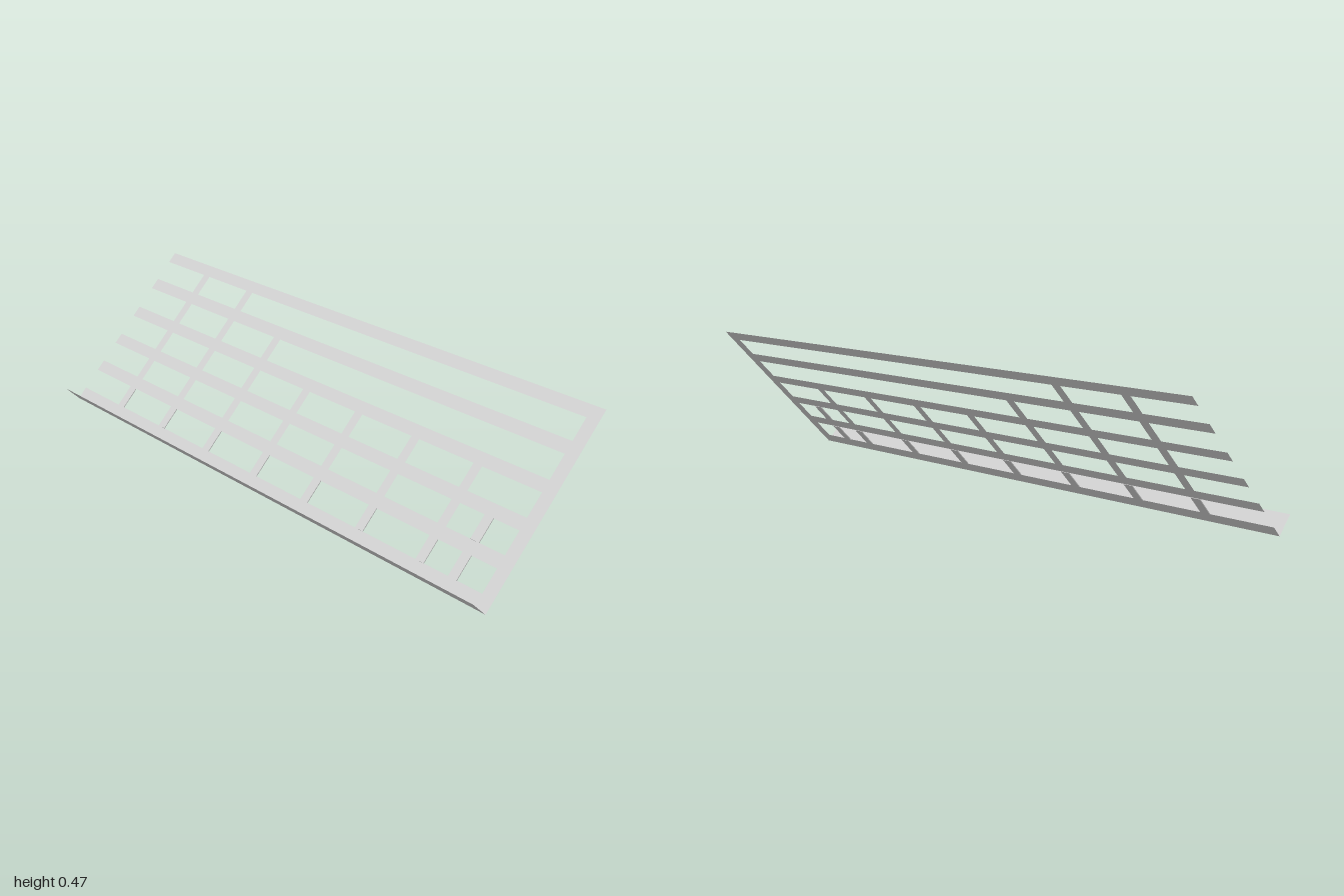
import * as THREE from 'three';

// Sloping open lattice: long rails joined by short rungs, with a lip along the low edge.
export function createModel() {
  const model = new THREE.Group();
  const material = new THREE.MeshStandardMaterial({ color: 0xcccccc, flatShading: true, side: THREE.DoubleSide });

  // Frame tilted 45 degrees: local x runs up the slope, local y is its normal
  const lattice = new THREE.Group();
  lattice.name = 'lattice';
  lattice.position.set(-0.209, 0, 0);
  lattice.rotation.z = Math.PI / 4;
  model.add(lattice);

  // Heights (world y) become distances along the slope
  function strip(name, y0, y1, z0, z1, thickness = 0) {
    const k = Math.SQRT2;
    const width = (y1 - y0) * k, depth = z1 - z0;
    const geometry = thickness
      ? new THREE.BoxGeometry(width, thickness, depth)
      : new THREE.PlaneGeometry(width, depth).rotateX(-Math.PI / 2);
    const mesh = new THREE.Mesh(geometry, material);
    mesh.name = name;
    mesh.position.set((y0 + y1) / 2 * k, 0, (z0 + z1) / 2);
    lattice.add(mesh);
  }

  // Long rails, open at the back
  const rails = [[0, 0.033], [0.09, 0.12], [0.177, 0.206], [0.265, 0.294], [0.355, 0.385], [0.441, 0.47]];
  const endBar = 0.957;
  rails.forEach(([a, b]) => strip('rail', a, b, -1, endBar));

  // Closing bar at the front
  strip('endBar', 0, 0.47, endBar, 1);

  // Rungs: centre z and how many gaps between rails each one crosses
  const rungs = [
    [0.848, 2], [0.722, 3], [0.473, 3], [0.227, 3],
    [-0.019, 3], [-0.27, 4], [-0.52, 5], [-0.767, 5],
  ];
  rungs.forEach(([z, gaps]) => {
    for (let i = 0; i < gaps; i++) {
      const thick = gaps === 2 || i === 0 ? 0.003 : 0;
      strip('rung', rails[i][1], rails[i + 1][0], z - 0.016, z + 0.016, thick);
    }
  });

  // Narrow lip standing square to the lattice
  const lipHeight = 0.078;
  const lip = new THREE.Mesh(new THREE.PlaneGeometry(2, lipHeight).rotateY(Math.PI / 2), material);
  lip.name = 'lip';
  lip.position.y = lipHeight / 2;
  lattice.add(lip);

  return model;
}
